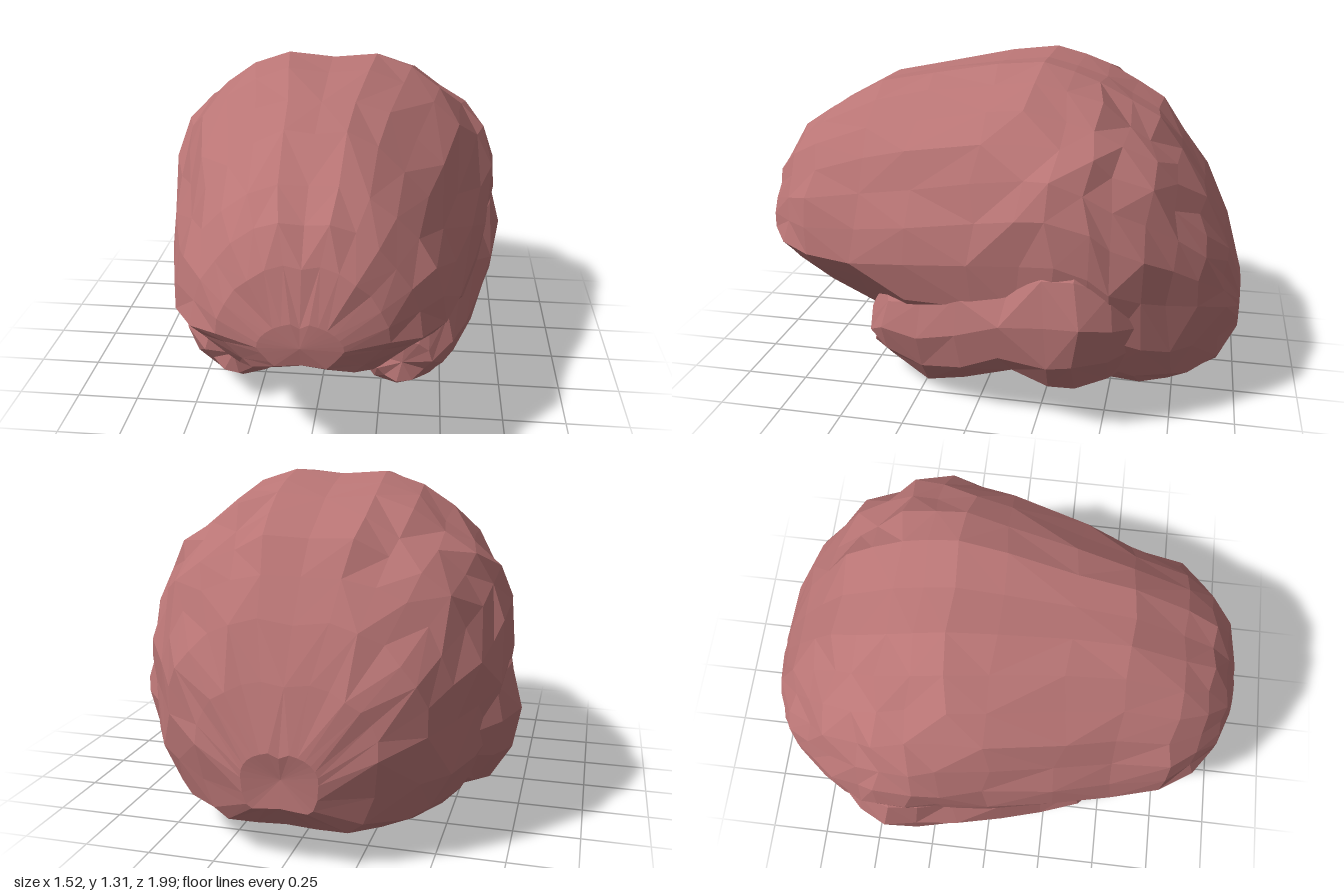
import * as THREE from 'three';

const material = new THREE.MeshStandardMaterial({ color: 0xb97575, flatShading: true });

// Repeatable noise in -1..1, the same on both halves of the model
function noise(i, j) {
  const s = Math.sin(i * 127.1 + j * 311.7) * 43758.5453;
  return (s - Math.floor(s)) * 2 - 1;
}

// Skin closed rings (clockwise seen from the front, ordered front to back) and cap both ends
function loft(name, rings, frontTip, backTip) {
  const n = rings[0].length;
  const points = [...rings.flat(), frontTip, backTip];
  const index = [];
  const front = rings.length * n, back = front + 1, last = front - n;
  for (let j = 0; j < n; j++) {
    const k = (j + 1) % n;
    index.push(front, k, j, back, last + j, last + k);
    for (let i = 0; i < rings.length - 1; i++) {
      const a = i * n + j, b = i * n + k, c = a + n, d = b + n;
      // Mirror the diagonals across the midline, varied from face to face
      const flip = noise(i + 7, Math.min(j, n - 1 - j)) > 0 !== j >= n / 2;
      if (flip) index.push(a, b, c, b, d, c);
      else index.push(a, b, d, a, d, c);
    }
  }
  const geometry = new THREE.BufferGeometry().setFromPoints(points);
  geometry.setIndex(index);
  geometry.computeVertexNormals();
  const mesh = new THREE.Mesh(geometry, material);
  mesh.name = name;
  return mesh;
}

// Cerebrum with the hind lobe: z, top, half width, height of widest point,
// x and y of the lower edge, y of the underside at the midline
const CEREBRUM = [
  [0.98, 0.68, 0.15, 0.58, 0.09, 0.51, 0.52],
  [0.92, 0.87, 0.30, 0.59, 0.18, 0.46, 0.48],
  [0.83, 0.99, 0.41, 0.57, 0.24, 0.42, 0.43],
  [0.70, 1.08, 0.50, 0.56, 0.26, 0.36, 0.36],
  [0.50, 1.20, 0.54, 0.56, 0.26, 0.27, 0.26],
  [0.27, 1.25, 0.60, 0.60, 0.35, 0.28, 0.27],
  [0.00, 1.29, 0.66, 0.64, 0.48, 0.29, 0.38],
  [-0.18, 1.31, 0.69, 0.66, 0.52, 0.28, 0.40],
  [-0.30, 1.28, 0.70, 0.68, 0.55, 0.25, 0.38],
  [-0.42, 1.24, 0.70, 0.64, 0.56, 0.22, 0.32],
  [-0.52, 1.18, 0.68, 0.58, 0.54, 0.18, 0.22],
  [-0.63, 1.12, 0.63, 0.53, 0.49, 0.15, 0.14],
  [-0.73, 1.00, 0.56, 0.50, 0.41, 0.12, 0.11],
  [-0.83, 0.85, 0.48, 0.47, 0.32, 0.11, 0.11],
  [-0.93, 0.66, 0.33, 0.41, 0.22, 0.13, 0.14],
  [-1.00, 0.43, 0.14, 0.33, 0.10, 0.22, 0.23],
];

// Sunken folds on each half: x, y, z, radius, depth
const DENTS = [
  [0.47, 1.08, -0.30, 0.17, 0.06],
  [0.30, 1.08, -0.60, 0.14, 0.04],
];

function dent(p, yw) {
  for (const [x, y, z, radius, depth] of DENTS) {
    const d = p.distanceTo(new THREE.Vector3(x, y, z));
    const inward = new THREE.Vector3(-p.x, yw - p.y, 0).normalize();
    p.addScaledVector(inward, depth * Math.max(0, 1 - d / radius));
  }
  return p;
}

function cerebrumRing([z, top, w, yw, xb, yb, ym], i) {
  const half = [];
  // Rounded upper side, fuller towards the rear
  const round = 0.88 + 0.16 * THREE.MathUtils.smoothstep(z, -0.3, 0.4);
  for (let k = 0; k <= 7; k++) {
    const a = (k / 7) * Math.PI / 2;
    half.push([w * Math.sin(a) ** round, yw + (top - yw) * Math.cos(a) ** round]);
  }
  // Side turning in to the lower edge, a flat chamfer under the frontal lobe
  const power = z > 0.4 ? 1.8 : 1;
  for (let k = 1; k <= 3; k++) {
    const a = (k / 3) * Math.PI / 2;
    half.push([xb + (w - xb) * Math.cos(a) ** power, yw + (yb - yw) * Math.sin(a) ** power]);
  }
  half.push([xb * 0.5, (yb + ym) / 2], [0, ym]);

  const size = Math.min(1, w / 0.5) * 0.022;
  const right = half.map(([x, y], j) => {
    const middle = j === 0 || j === half.length - 1;
    const groove = j === 0 ? 0.018 : 0;
    const s = 1 + (middle ? 0 : noise(i, j) * size);
    const shift = middle || w < 0.2 ? 0 : noise(j + 20, i) * size;
    return dent(new THREE.Vector3(x * s, yw + (y - yw) * s - groove, z + shift), yw);
  });
  const left = right.slice(1, -1).reverse().map(p => new THREE.Vector3(-p.x, p.y, p.z));
  return [...right, ...left];
}

// Temporal lobe: z, inner x, outer x, bottom, top, x of the bottom
const TEMPORAL = [
  [0.46, 0.24, 0.46, 0.14, 0.33, 0.32],
  [0.38, 0.16, 0.54, 0.08, 0.50, 0.32],
  [0.23, 0.10, 0.60, 0.00, 0.57, 0.33],
  [0.05, 0.08, 0.66, 0.06, 0.63, 0.37],
  [-0.13, 0.12, 0.70, 0.15, 0.70, 0.43],
  [-0.29, 0.18, 0.73, 0.12, 0.78, 0.50],
  [-0.41, 0.25, 0.75, 0.13, 0.80, 0.52],
  [-0.53, 0.32, 0.70, 0.17, 0.72, 0.50],
  [-0.64, 0.38, 0.60, 0.25, 0.60, 0.48],
];

function temporalLobe(side) {
  const n = 12;
  const rings = TEMPORAL.map(([z, xi, xo, y0, y1, xb], i) => {
    const ring = [];
    const cx = (xi + xo) / 2;
    for (let j = 0; j < n; j++) {
      const a = (j / n) * Math.PI * 2;
      const r = 1 + noise(i + 40, j) * 0.035;
      const lean = (xb - cx) * Math.max(0, -Math.cos(a));
      ring.push(new THREE.Vector3(
        side * (cx + (xo - xi) / 2 * Math.sin(a) * r + lean),
        (y0 + y1) / 2 + (y1 - y0) / 2 * Math.cos(a) * (j === n / 2 ? 1 : r),
        z + noise(j + 60, i) * 0.02));
    }
    return side > 0 ? ring : ring.reverse();
  });
  return loft(side > 0 ? 'leftTemporalLobe' : 'rightTemporalLobe', rings,
    new THREE.Vector3(side * 0.34, 0.23, 0.475), new THREE.Vector3(side * 0.49, 0.4, -0.66));
}

export function createModel() {
  const group = new THREE.Group();
  group.name = 'brain';
  group.add(loft('cerebrum', CEREBRUM.map(cerebrumRing),
    new THREE.Vector3(0, 0.59, 0.99), new THREE.Vector3(0, 0.33, -0.985)));
  group.add(temporalLobe(1), temporalLobe(-1));
  return group;
}
